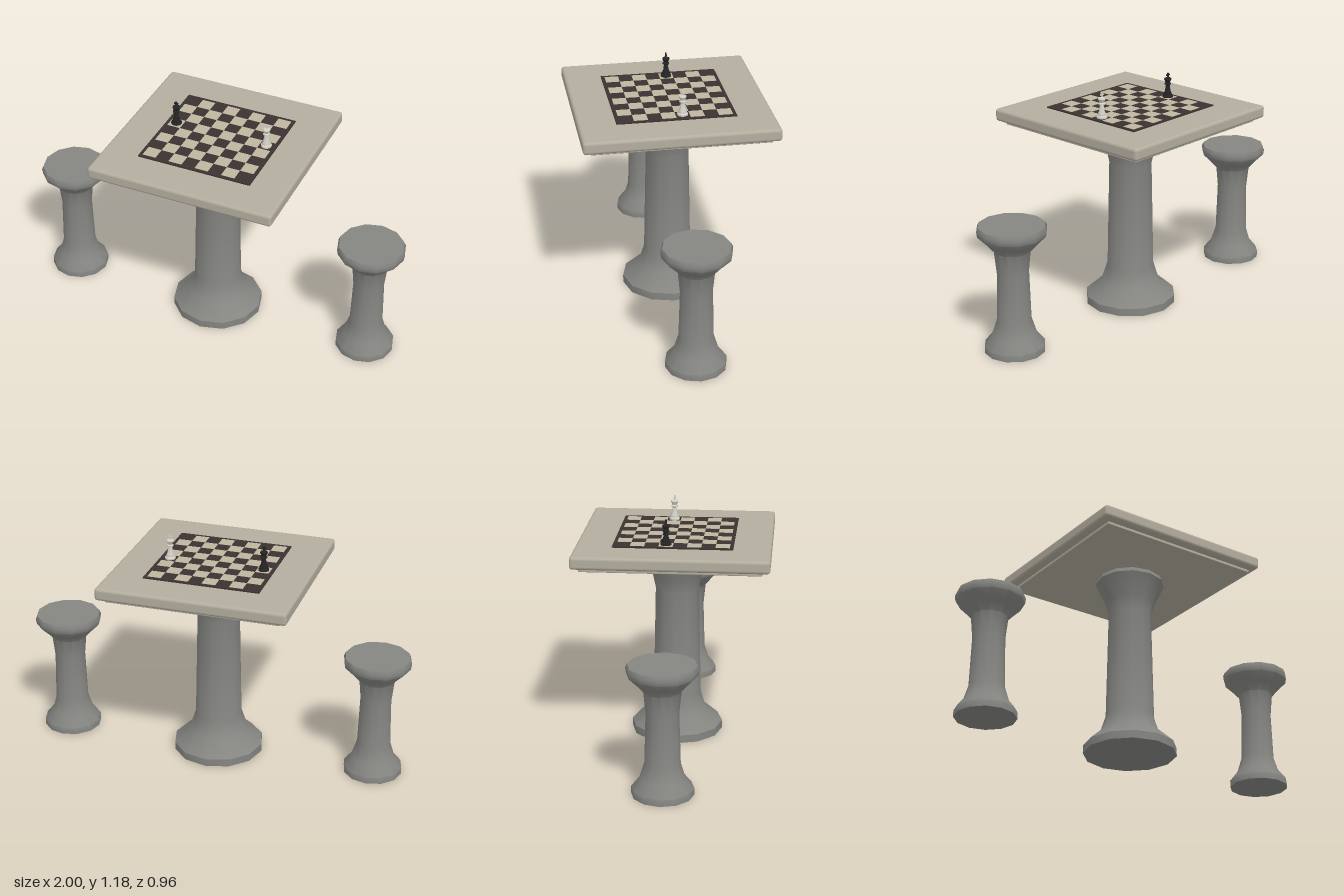
import * as THREE from 'three';
import { toCreasedNormals, mergeGeometries } from 'three/addons/utils/BufferGeometryUtils.js';
import { RoundedBoxGeometry } from 'three/addons/geometries/RoundedBoxGeometry.js';

const paint = (color) => new THREE.MeshStandardMaterial({ color });

function addMesh(parent, name, geometry, material, x = 0, y = 0, z = 0) {
  const mesh = new THREE.Mesh(geometry, material);
  mesh.name = name;
  mesh.position.set(x, y, z);
  parent.add(mesh);
  return mesh;
}

// Turned solid from [radius, height] pairs, bottom to top
function turned(profile, sides) {
  const points = profile.map(([r, y]) => new THREE.Vector2(r, y));
  return toCreasedNormals(new THREE.LatheGeometry(points, sides), 0.75);
}

export function createModel() {
  const model = new THREE.Group();
  model.name = 'chessTableSet';

  const concrete = paint(0x858582);
  const stone = paint(0xb3ad9e);
  const dark = paint(0x3a3230);
  const light = paint(0xbfb6a0);
  const black = paint(0x242424);
  const white = paint(0xd2cfc6);

  // Table pedestal
  addMesh(model, 'pedestal', turned([
    [0, 0], [0.234, 0], [0.234, 0.04], [0.15, 0.115], [0.122, 0.2],
    [0.11, 0.76], [0.125, 0.83], [0.178, 0.94], [0.168, 0.965], [0, 0.965],
  ], 12), concrete);

  // Table top with a stepped trim underneath
  addMesh(model, 'tableTop', new RoundedBoxGeometry(0.96, 0.064, 0.96, 2, 0.016), stone, 0, 1.015, 0);
  addMesh(model, 'upperTrim', new THREE.BoxGeometry(0.864, 0.012, 0.864), stone, 0, 0.981, 0);
  addMesh(model, 'lowerTrim', new RoundedBoxGeometry(0.882, 0.016, 0.882, 1, 0.004), stone, 0, 0.971, 0);

  // Chess board: a dark panel with the light squares inlaid
  addMesh(model, 'board', new THREE.BoxGeometry(0.59, 0.008, 0.59), dark, 0, 1.049, 0);
  const cell = 0.0695;
  const squares = [];
  for (let row = 0; row < 8; row++) {
    for (let col = 0; col < 8; col++) {
      if ((row + col) % 2 === 0) continue;
      const square = new THREE.BoxGeometry(cell, 0.002, cell);
      squares.push(square.translate((col - 3.5) * cell, 1.053, (row - 3.5) * cell));
    }
  }
  addMesh(model, 'lightSquares', mergeGeometries(squares), light);

  // Kings facing each other across the board
  const kingBody = turned([
    [0, 0], [0.027, 0], [0.027, 0.008], [0.02, 0.014], [0.021, 0.02], [0.014, 0.035],
    [0.01, 0.064], [0.017, 0.068], [0.017, 0.073], [0.011, 0.077],
    [0.019, 0.095], [0.017, 0.1], [0.006, 0.105], [0, 0.105],
  ], 16);
  const crossPost = new THREE.BoxGeometry(0.007, 0.026, 0.007);
  const crossArm = new THREE.BoxGeometry(0.021, 0.007, 0.007);
  for (const [name, side, material] of [['blackKing', -1, black], ['whiteKing', 1, white]]) {
    const king = new THREE.Group();
    king.name = name;
    king.position.set(side * 0.243, 1.053, -0.035);
    addMesh(king, 'body', kingBody, material);
    addMesh(king, 'crossPost', crossPost, material, 0, 0.114, 0);
    addMesh(king, 'crossArm', crossArm, material, 0, 0.117, 0);
    model.add(king);
  }

  // Stools on both sides
  const stool = turned([
    [0, 0], [0.15, 0], [0.15, 0.033], [0.11, 0.083], [0.086, 0.16], [0.079, 0.41],
    [0.09, 0.52], [0.125, 0.56], [0.168, 0.603], [0.172, 0.63], [0.164, 0.649], [0, 0.65],
  ], 12);
  addMesh(model, 'leftStool', stool, concrete, 0.828);
  addMesh(model, 'rightStool', stool, concrete, -0.828);

  return model;
}
